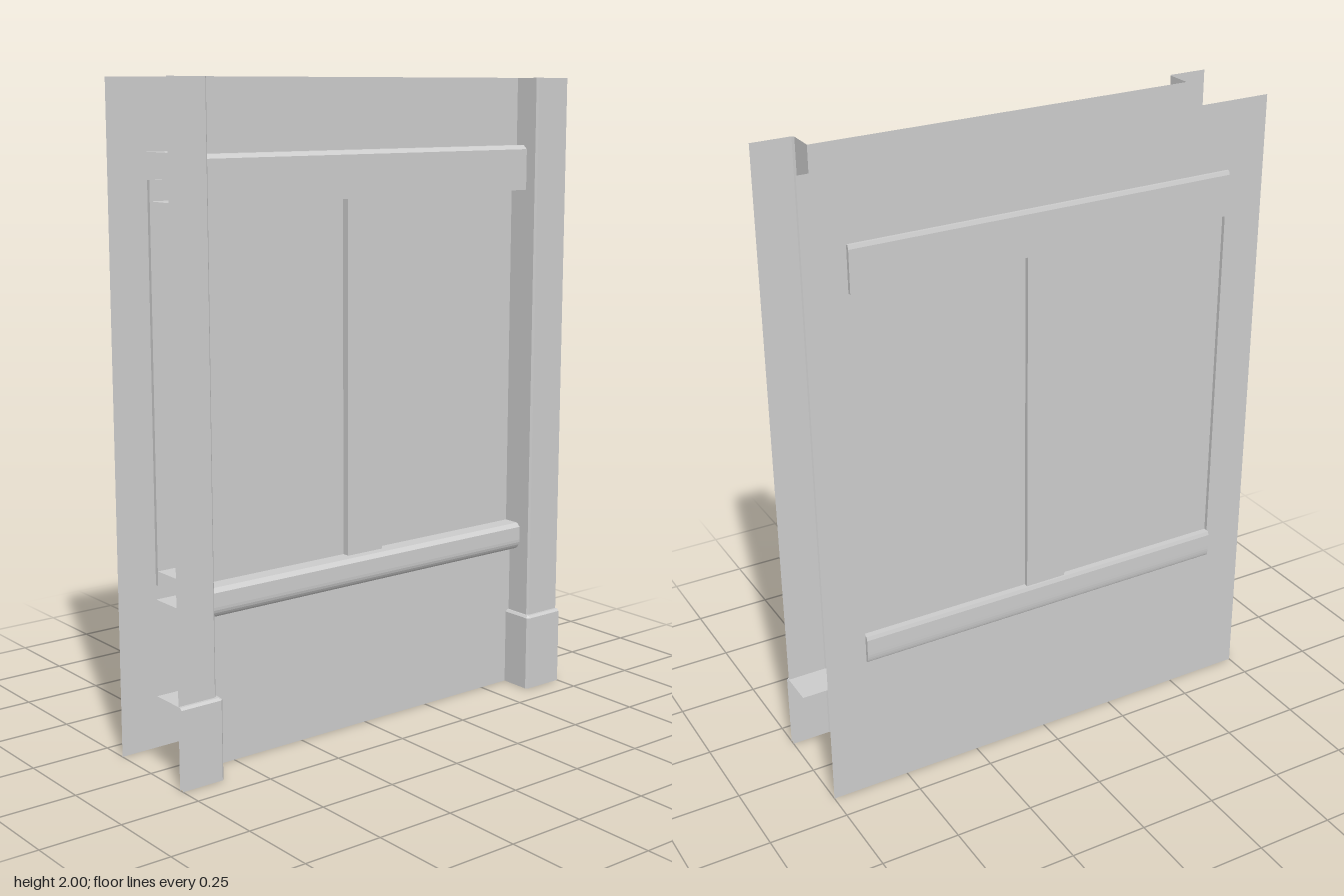
import * as THREE from 'three';

const mat = new THREE.MeshStandardMaterial({ color: 0xcccccc, side: THREE.DoubleSide });

const W = 0.62, H = 2;              // half width of the bay, wall height
const FRONT = 0.066, BACK = -0.16;  // planes of the two wall skins
const HOLE = [0.51, 1.71];          // window opening, bottom and top

function add(parent, name, geometry) {
  const mesh = new THREE.Mesh(geometry, mat);
  mesh.name = name;
  parent.add(mesh);
  return mesh;
}

// Flat-shaded strip of quads between two polylines of 3D points
function loft(a, b) {
  const pos = [];
  for (let i = 0; i < a.length - 1; i++) {
    pos.push(...a[i], ...a[i + 1], ...b[i + 1], ...a[i], ...b[i + 1], ...b[i]);
  }
  const g = new THREE.BufferGeometry();
  g.setAttribute('position', new THREE.Float32BufferAttribute(pos, 3));
  g.computeVertexNormals();
  return g;
}

// Profile of [x, z] points raised from y0 to y1
const raise = (p, y0, y1) => loft(p.map(([x, z]) => [x, y0, z]), p.map(([x, z]) => [x, y1, z]));

// Profile of [z, y] points drawn out along x over the bay
const span = (p) => loft(p.map(([z, y]) => [-W, y, z]), p.map(([z, y]) => [W, y, z]));

function rectPath(PathType, x, y0, y1) {
  const p = new PathType();
  p.moveTo(-x, y0);
  p.lineTo(x, y0);
  p.lineTo(x, y1);
  p.lineTo(-x, y1);
  p.closePath();
  return p;
}

// Horizontal moulding: nose in front of the wall, shelves running into the cavity
function trim(name, wallZ, noseZ, innerZ, y0, y1, rounded) {
  const g = new THREE.Group();
  g.name = name;
  const d = noseZ - wallZ;
  const nose = [[noseZ - 0.3 * d, y1], [noseZ, y1 - 0.012]];
  if (rounded) {
    for (let i = 0; i <= 6; i++) {
      const t = (i / 6) * Math.PI / 2;
      nose.push([noseZ - 0.6 * d * (1 - Math.cos(t)), y0 + 0.035 * (1 - Math.sin(t))]);
    }
  } else {
    nose.push([noseZ, y0]);
  }
  add(g, 'moulding', span([[innerZ, y1], ...nose, [innerZ, y0]]));
  // End caps cover only the part outside the wall
  const outline = [[wallZ, y1], ...nose, [wallZ, y0]];
  const cap = new THREE.ShapeGeometry(new THREE.Shape(outline.map(([z, y]) => new THREE.Vector2(-z, y))));
  cap.rotateY(Math.PI / 2);
  for (const s of [-1, 1]) add(g, 'endCap', cap).position.x = s * W;
  return g;
}

export function createModel() {
  const model = new THREE.Group();
  model.name = 'wallPanel';

  // Front skin: bands below and above the opening
  add(model, 'frontWallLower', span([[FRONT, 0], [FRONT, HOLE[0]]]));
  add(model, 'frontWallUpper', span([[FRONT, HOLE[1]], [FRONT, H]]));

  // Back skin: full-width sheet with the opening cut out
  const sheet = rectPath(THREE.Shape, 0.75, 0, H);
  sheet.holes.push(rectPath(THREE.Path, W, ...HOLE));
  add(model, 'backWall', new THREE.ShapeGeometry(sheet).rotateY(Math.PI)).position.z = BACK;

  // Recessed panes with their reveals
  for (const [side, wall, pane] of [['front', FRONT, 0.046], ['back', BACK, -0.148]]) {
    add(model, side + 'Pane', span([[wall, HOLE[0]], [pane, HOLE[0]], [pane, HOLE[1]], [wall, HOLE[1]]]));
    for (const s of [-1, 1]) add(model, side + 'Reveal', raise([[s * W, wall], [s * W, pane]], ...HOLE));
  }

  // Central mullions
  const mullion = (face, inner) => [[-0.07, inner], [-0.07, face], [0.065, face], [0.065, inner]];
  add(model, 'frontMullion', raise(mullion(0.07, -0.005), 0.555, 1.65));
  add(model, 'backMullion', raise(mullion(-0.162, -0.08), 0.51, 1.65));

  // Rails above and below the panes
  model.add(
    trim('frontTopRail', FRONT, 0.112, -0.092, 1.65, 1.79, false),
    trim('frontSill', FRONT, 0.112, -0.092, 0.465, 0.555, true),
    trim('backTopRail', BACK, -0.172, 0.016, 1.65, 1.79, false),
    trim('backSill', BACK, -0.172, 0.016, 0.465, 0.555, true),
  );

  // Half pilasters with plinths, open on the outer side
  for (const s of [-1, 1]) {
    const g = new THREE.Group();
    g.name = s > 0 ? 'leftPilaster' : 'rightPilaster';
    const shaft = [[0.75, 0.156], [0.626, 0.156], [0.62, 0.15], [0.62, FRONT]];
    add(g, 'shaft', raise(shaft.map(([x, z]) => [s * x, z]), 0, H));

    const foot = [[0.75, 0.172], [0.614, 0.172], [0.607, 0.165], [0.607, 0.044]];
    const rim = [[0.75, 0.165], [0.619, 0.165], [0.614, 0.16], [0.614, 0.044]];
    const at = (p, y) => p.map(([x, z]) => [s * x, y, z]);
    add(g, 'plinth', raise(foot.map(([x, z]) => [s * x, z]), 0, 0.243));
    add(g, 'plinthBevel', loft(at(foot, 0.243), at(rim, 0.25)));
    const back = [0.75, 0.619, 0.614, 0.614].map((x) => [x, 0.044]);
    add(g, 'plinthTop', loft(at(rim.slice(0, 3), 0.25), at(back.slice(0, 3), 0.25)));
    model.add(g);
  }
  return model;
}
